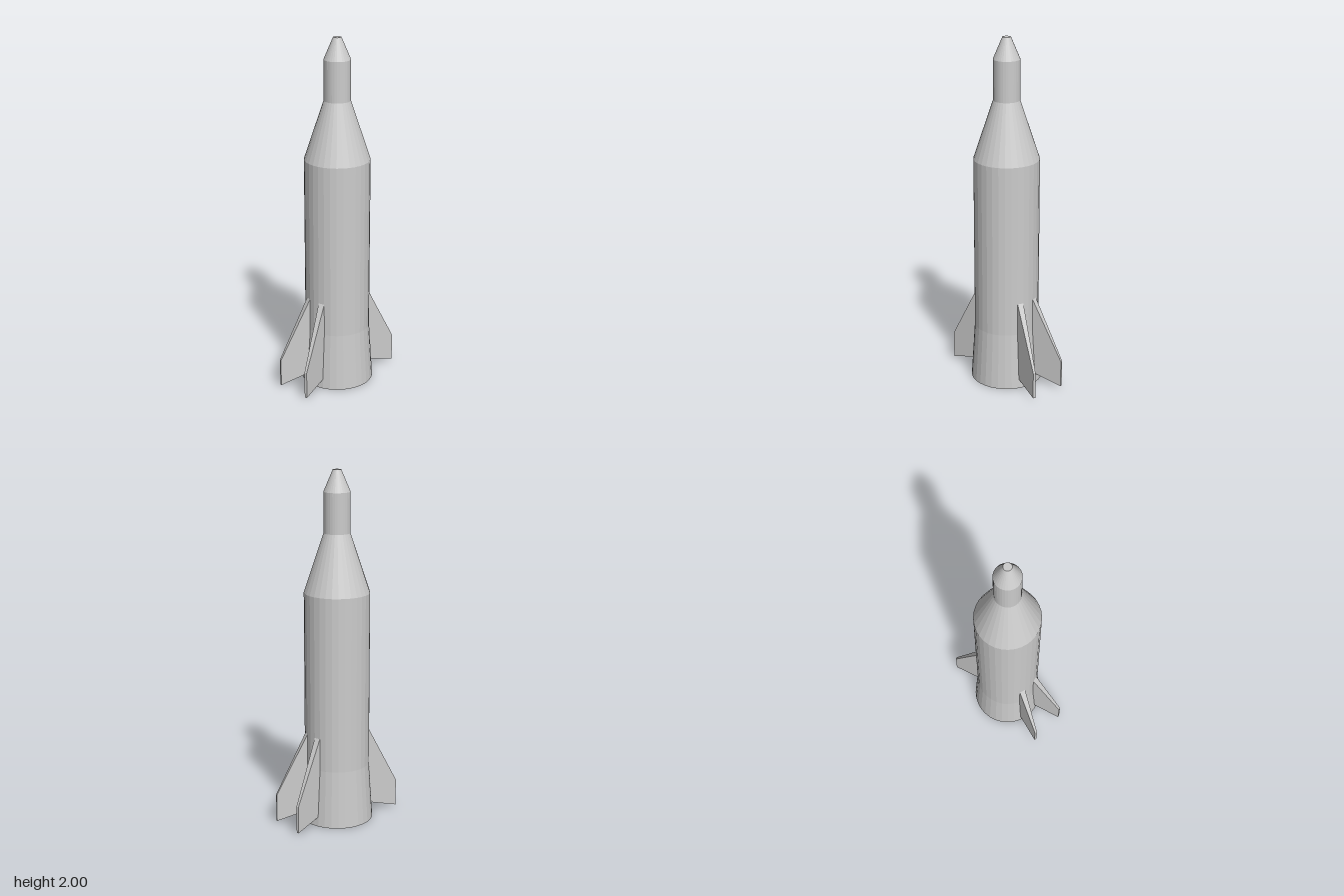
import * as THREE from 'three';

const SEGMENTS = 32;

// Tapered fin: thick at the root, thin at the tip, reaching out along +z
function finGeometry() {
  const root = { r: 0.18, top: 0.525, bottom: 0.06, half: 0.018 };
  const tip = { r: 0.365, top: 0.17, bottom: 0.013, half: 0.007 };
  const geometry = new THREE.BoxGeometry(1, 1, 1);
  const p = geometry.attributes.position;
  for (let i = 0; i < p.count; i++) {
    const end = p.getZ(i) > 0 ? tip : root;
    p.setXYZ(i, Math.sign(p.getX(i)) * end.half, p.getY(i) > 0 ? end.top : end.bottom, end.r);
  }
  geometry.computeVertexNormals();
  return geometry;
}

export function createModel() {
  const model = new THREE.Group();
  model.name = 'rocket';
  const material = new THREE.MeshStandardMaterial({ color: 0xcccccc, flatShading: true });

  // Body: hollow inside, flared tail, straight barrel, shoulder cone and blunt nose
  const profile = [
    [0, 1.3], [0.15, 1.3], [0.15, 0.33], [0.171, 0],
    [0.205, 0], [0.184, 0.33], [0.184, 1.325],
    [0.074, 1.655], [0.074, 1.88], [0.023, 2], [0, 2],
  ].map(([r, y]) => new THREE.Vector2(r, y));
  const body = new THREE.Mesh(new THREE.LatheGeometry(profile, SEGMENTS), material);
  body.name = 'body';
  model.add(body);

  // Fins: a narrow pair at the front and another at the back
  const fins = new THREE.Group();
  fins.name = 'fins';
  const geometry = finGeometry();
  const splay = THREE.MathUtils.degToRad(16.9);
  for (const [end, base] of [['front', 0], ['back', Math.PI]]) {
    for (const side of [-1, 1]) {
      const fin = new THREE.Mesh(geometry, material);
      const left = (side > 0) === (end === 'front');
      fin.name = end + (left ? 'Left' : 'Right') + 'Fin';
      fin.rotation.y = base + side * splay;
      fins.add(fin);
    }
  }
  model.add(fins);
  return model;
}
